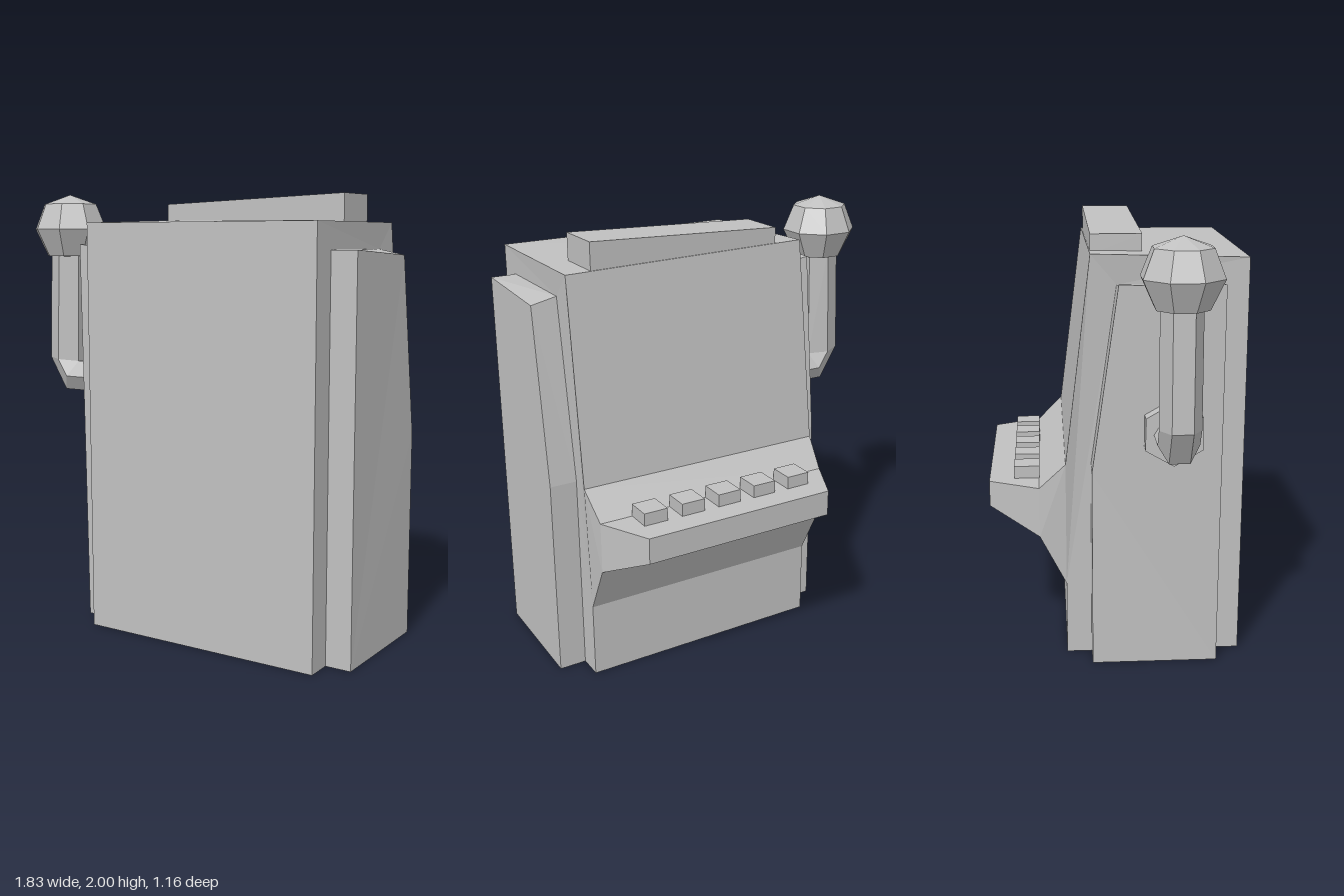
import * as THREE from 'three';

const grey = new THREE.MeshStandardMaterial({ color: 0xc0c0c0 });
grey.name = 'grey';
grey.flatShading = true;
grey.side = THREE.DoubleSide;

function add(group, name, geometry, x = 0, y = 0, z = 0) {
  const mesh = new THREE.Mesh(geometry, grey);
  mesh.name = name;
  mesh.position.set(x, y, z);
  group.add(mesh);
  return mesh;
}

function fromTriangles(coords) {
  const g = new THREE.BufferGeometry();
  g.setAttribute('position', new THREE.Float32BufferAttribute(coords, 3));
  g.computeVertexNormals();
  return g;
}

// Skin between consecutive rows of [x, y, z] points
function loft(rows, closed = false) {
  const out = [];
  for (let i = 0; i + 1 < rows.length; i++) {
    const A = rows[i], B = rows[i + 1], n = A.length;
    for (let j = 0; j < (closed ? n : n - 1); j++) {
      const k = (j + 1) % n;
      out.push(...A[j], ...A[k], ...B[k], ...A[j], ...B[k], ...B[j]);
    }
  }
  return fromTriangles(out);
}

// Side face triangulated in the z-y plane, facing +x (side 1) or -x (side -1)
function cap(points, side) {
  const flat = points.map(([, y, z]) => new THREE.Vector2(z, y));
  const out = [];
  for (const [a, b, c] of THREE.ShapeUtils.triangulateShape(flat, [])) {
    const [p, q, r] = [flat[a], flat[b], flat[c]];
    const cross = (q.x - p.x) * (r.y - p.y) - (q.y - p.y) * (r.x - p.x);
    const order = cross * side < 0 ? [a, b, c] : [a, c, b];
    order.forEach(i => out.push(...points[i]));
  }
  return fromTriangles(out);
}

// Cabinet profile, from the +z foot over the top to the -z foot: [z, y, x low, x high]
const PROFILE = [
  [0.58, 0, -0.37, 0.785],
  [0.58, 1.86, -0.37, 0.785],
  [-0.115, 1.86, -0.385, 0.79],
  [-0.23, 0.94, -0.395, 0.80],
  [-0.35, 0.82, -0.37, 0.785],
  [-0.58, 0.82, -0.255, 0.67],
  [-0.58, 0.70, -0.255, 0.67],
  [-0.35, 0.585, -0.37, 0.785],
  [-0.23, 0.35, -0.37, 0.785],
  [-0.23, 0, -0.37, 0.785],
];

// Side panel profile: [z, y]
const PANEL = [[0.46, 0], [0.46, 1.745], [0, 1.745], [-0.115, 0.93], [-0.115, 0]];

function buildCabinet() {
  const cabinet = new THREE.Group();
  cabinet.name = 'cabinet';
  const edge = side => PROFILE.map(([z, y, lo, hi]) => [side > 0 ? hi : lo, y, z]);
  const high = edge(1), low = edge(-1);
  low[2][1] = 1.88; // slightly raised corner
  add(cabinet, 'cabinetShell', loft([high, low]));

  for (const side of [1, -1]) {
    const rim = side > 0 ? high : low;
    const inner = PANEL.map(([z, y]) => [side > 0 ? 0.785 : -0.37, y, z]);
    // Outer edge of each panel leans a little differently
    const outer = side > 0
      ? PANEL.map(([z, y], i) => [i > 2 ? 0.91 : 0.903, i === 2 ? 1.72 : y, z])
      : PANEL.map(([z, y], i) => [y > 1 ? -0.512 : -0.49, y > 1 ? 1.765 : y, z]);
    const body = rim.filter((_, i) => i !== 5 && i !== 6);
    add(cabinet, 'cabinetSide', cap([...body, ...inner.slice().reverse()], side));
    add(cabinet, 'consoleEnd', cap(rim.slice(4, 8), side));
    add(cabinet, 'sidePanelEdge', loft(side > 0 ? [outer, inner] : [inner, outer]));
    add(cabinet, 'sidePanelFace', cap(outer, side));
  }
  return cabinet;
}

function buildLever() {
  const lever = new THREE.Group();
  lever.name = 'lever';

  // Hexagonal mount
  const mount = new THREE.CylinderGeometry(0.145, 0.145, 0.07, 6);
  mount.rotateY(Math.PI / 2).rotateZ(Math.PI / 2);
  // Put a corner at the top
  mount.computeBoundingBox();
  if (mount.boundingBox.max.y < 0.14) mount.rotateX(Math.PI / 6);
  add(lever, 'leverMount', mount, -0.535, 1.125, 0.24);

  // Bent hexagonal arm; each ring gives its outer, middle and inner [x, y]
  const rings = [
    [[-0.55, 1.055], [-0.55, 1.125], [-0.55, 1.197]],
    [[-0.76, 1.055], [-0.72, 1.125], [-0.68, 1.197]],
    [[-0.855, 1.21], [-0.77, 1.205], [-0.68, 1.197]],
    [[-0.835, 1.74], [-0.75, 1.74], [-0.668, 1.74]],
  ].map(([o, m, n]) => [
    [...o, 0.195], [...o, 0.285], [...m, 0.33], [...n, 0.285], [...n, 0.195], [...m, 0.15],
  ]);
  add(lever, 'leverArm', loft(rings, true));

  // Faceted knob
  const knob = [[0, 1.70], [0.118, 1.708], [0.179, 1.835], [0.13, 1.955], [0, 2]];
  const points = knob.map(([r, y]) => new THREE.Vector2(r, y));
  add(lever, 'leverKnob', new THREE.LatheGeometry(points, 8, Math.PI / 8), -0.75, 0, 0.24);
  return lever;
}

export function createModel() {
  const model = new THREE.Group();
  model.name = 'slotMachine';
  model.add(buildCabinet(), buildLever());

  // Top sign, rising towards +x
  const sign = new THREE.BoxGeometry(0.925, 0.1, 0.23);
  const p = sign.attributes.position;
  for (let i = 0; i < p.count; i++) {
    p.setY(i, p.getY(i) < 0 ? 1.86 : p.getX(i) < 0 ? 1.95 : 1.985);
  }
  sign.computeVertexNormals();
  add(model, 'topSign', sign, 0.21, 0, 0.005);

  // Row of console buttons
  for (let i = 0; i < 5; i++) {
    add(model, 'button', new THREE.BoxGeometry(0.113, 0.06, 0.117), -0.165 + i * 0.185, 0.848, -0.407);
  }
  return model;
}
